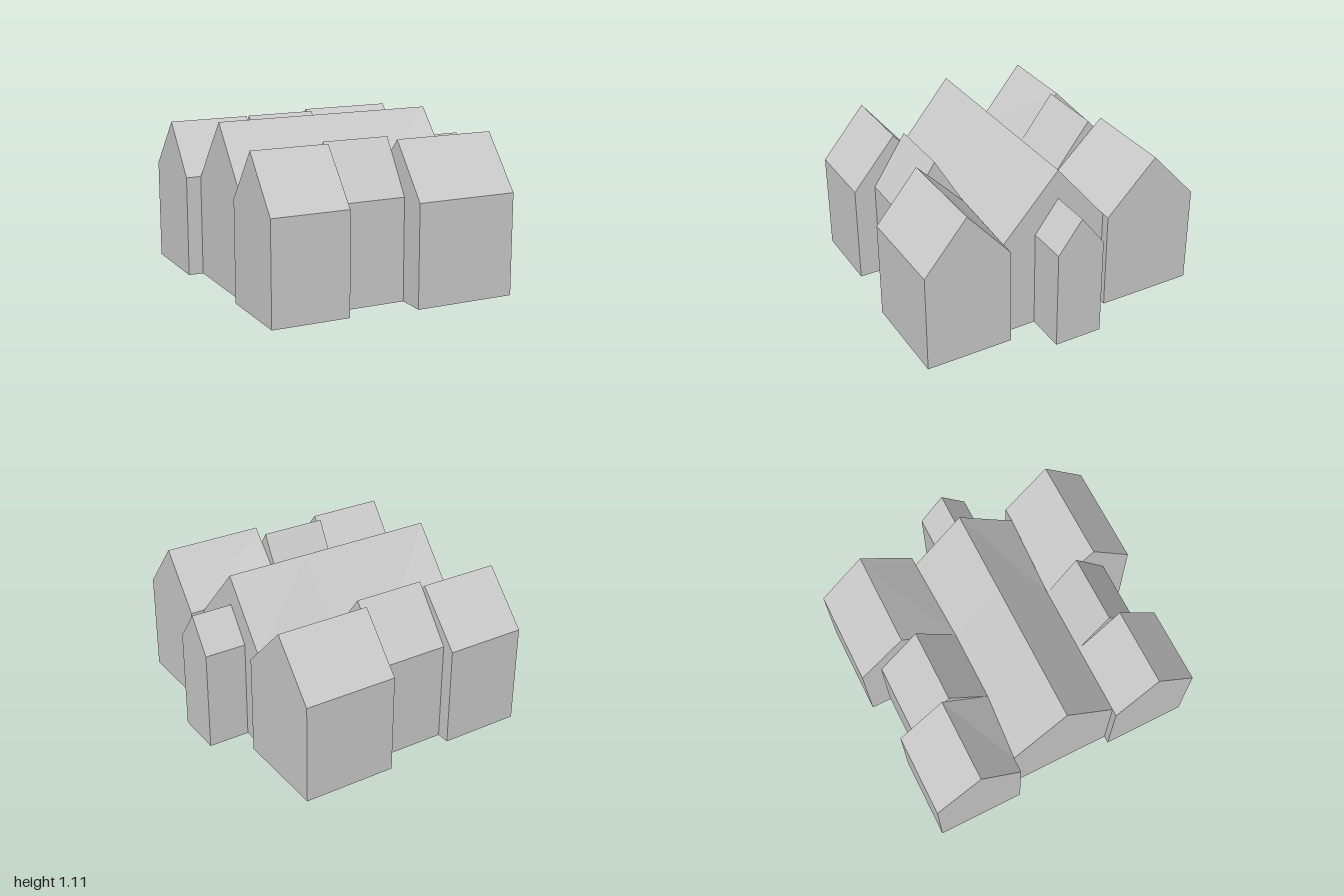
import * as THREE from 'three';

const EAVE = 0.68, FLOOR = 0.06;
const material = new THREE.MeshStandardMaterial({ color: 0xcccccc, flatShading: true, side: THREE.DoubleSide });

// Ground plan of the joined houses, as (x, z) corners
const footprint = [
  [-0.948, -0.95], [-0.395, -0.95], [-0.395, -0.86], [0.09, -0.86], [0.09, -1], [0.727, -1],
  [0.727, -0.335], [0.667, -0.335], [0.667, -0.155], [0.948, -0.155], [0.948, 0.175], [0.667, 0.175],
  [0.667, 0.405], [0.762, 0.405], [0.762, 1], [0.078, 1], [0.078, 0.807], [-0.375, 0.807],
  [-0.375, 0.953], [-0.895, 0.953], [-0.895, 0.375], [-0.847, 0.375], [-0.847, -0.35], [-0.948, -0.35],
];

// Openings in the floor
const openings = [
  [[-0.55, -0.07], [0.33, -0.07], [0.33, -0.33], [0.07, -0.33], [0.07, -0.55], [-0.3, -0.55], [-0.3, -0.28], [-0.55, -0.28]],
  [[-0.6, 0.12], [0.4, 0.12], [0.4, 0.33], [0.05, 0.33], [0.05, 0.67], [-0.47, 0.67], [-0.47, 0.33], [-0.6, 0.33]],
];

function surface(triangles) {
  const geometry = new THREE.BufferGeometry();
  geometry.setAttribute('position', new THREE.Float32BufferAttribute(triangles.flat(), 3));
  geometry.computeVertexNormals();
  return geometry;
}

function quad(a, b, c, d) {
  return [a, b, c, a, c, d];
}

// Upright walls along the closed plan
function wallRing(plan, y0, y1) {
  const tris = [];
  plan.forEach(([x, z], i) => {
    const [u, w] = plan[(i + 1) % plan.length];
    tris.push(...quad([x, y0, z], [x, y1, z], [u, y1, w], [u, y0, w]));
  });
  return surface(tris);
}

// Gabled roof from stations along x: [x, back eave z, front eave z]
function gableRoof(ridgeZ, ridgeY, stations) {
  const tris = [];
  const rings = stations.map(([x, back, front]) => [[x, EAVE, back], [x, ridgeY, ridgeZ], [x, EAVE, front]]);
  for (let i = 0; i + 1 < rings.length; i++) {
    const [b0, r0, f0] = rings[i];
    const [b1, r1, f1] = rings[i + 1];
    tris.push(...quad(f0, f1, r1, r0), ...quad(r0, r1, b1, b0));
  }
  const [b, r, f] = rings[0];
  const [eb, er, ef] = rings[rings.length - 1];
  tris.push(b, f, r, ef, eb, er);
  return surface(tris);
}

export function createModel() {
  const model = new THREE.Group();
  model.name = 'gabledHouses';
  const add = (name, geometry) => {
    const mesh = new THREE.Mesh(geometry, material);
    mesh.name = name;
    model.add(mesh);
  };

  add('outerWalls', wallRing(footprint, 0, EAVE));

  // Floor set slightly above the ground, with its openings
  const toPoints = (plan) => plan.map(([x, z]) => new THREE.Vector2(x, z));
  const floorShape = new THREE.Shape(toPoints(footprint));
  floorShape.holes = openings.map((plan) => new THREE.Path(toPoints(plan)));
  add('floor', new THREE.ShapeGeometry(floorShape).rotateX(Math.PI / 2).translate(0, FLOOR, 0));

  // Partitions on the front edge of each opening: x range, z, top
  [[-0.55, 0.33, -0.07, 0.6], [-0.47, 0.05, 0.67, 0.4]].forEach(([x0, x1, z, top]) => {
    add('partition', surface(quad([x0, FLOOR, z], [x0, top, z], [x1, top, z], [x1, FLOOR, z])));
  });

  // Roofs: neighbouring rows share the valley lines beside the main roof
  const roofs = [
    ['mainRoof', 0.015, 1.105, [[-0.847, -0.35, 0.375], [-0.395, -0.315, 0.375], [0.09, -0.315, 0.375], [0.667, -0.335, 0.405]]],
    ['wingRoof', 0.01, 0.9, [[0.66, -0.155, 0.175], [0.948, -0.155, 0.175]]],
    ['backRightRoof', -0.632, 1.02, [[-0.948, -0.95, -0.35], [-0.847, -0.95, -0.35], [-0.395, -0.95, -0.315]]],
    ['backMiddleRoof', -0.583, 1.03, [[-0.395, -0.86, -0.315], [0.09, -0.86, -0.315]]],
    ['backLeftRoof', -0.683, 1.03, [[0.09, -1, -0.315], [0.667, -1, -0.335], [0.727, -1, -0.335]]],
    ['frontRightRoof', 0.652, 1.03, [[-0.895, 0.375, 0.953], [-0.375, 0.375, 0.953]]],
    ['frontMiddleRoof', 0.575, 1.03, [[-0.375, 0.375, 0.807], [0.078, 0.375, 0.807]]],
    ['frontLeftRoof', 0.705, 1.03, [[0.078, 0.375, 1], [0.667, 0.405, 1], [0.762, 0.405, 1]]],
  ];
  roofs.forEach(([name, ridgeZ, ridgeY, stations]) => add(name, gableRoof(ridgeZ, ridgeY, stations)));

  return model;
}
